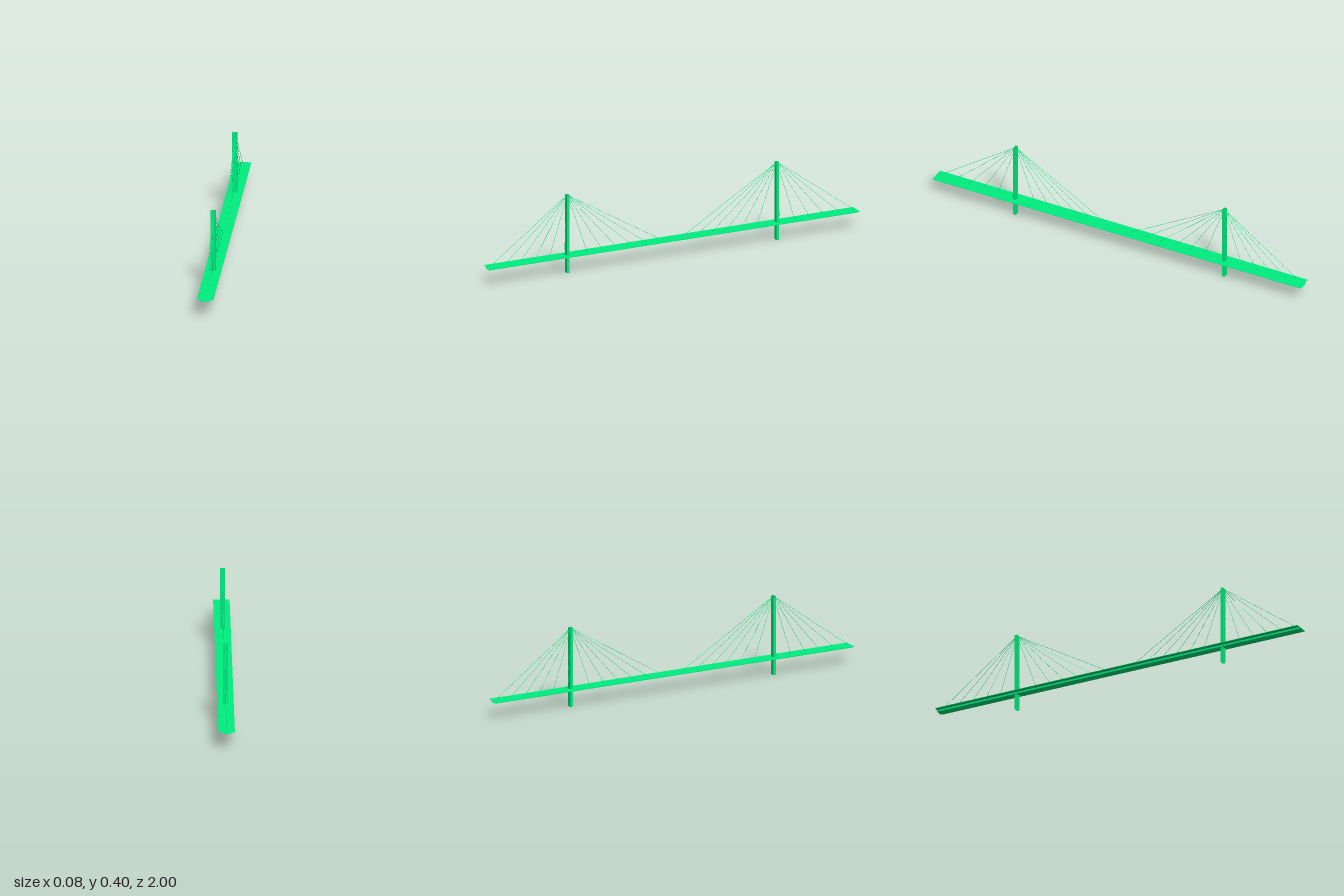
import * as THREE from 'three';

const material = new THREE.MeshStandardMaterial({ color: 0x00ee80, flatShading: true, side: THREE.DoubleSide });

// Open-ended shell: sweeps a counter-clockwise closed profile along z, without end caps
function shell(profile, length) {
  const pos = [];
  const h = length / 2;
  profile.forEach(([ax, ay], i) => {
    const [bx, by] = profile[(i + 1) % profile.length];
    pos.push(ax, ay, h, ax, ay, -h, bx, by, -h);
    pos.push(ax, ay, h, bx, by, -h, bx, by, h);
  });
  const geo = new THREE.BufferGeometry();
  geo.setAttribute('position', new THREE.Float32BufferAttribute(pos, 3));
  geo.computeVertexNormals();
  return geo;
}

function addMesh(parent, name, geometry) {
  const mesh = new THREE.Mesh(geometry, material);
  mesh.name = name;
  parent.add(mesh);
  return mesh;
}

// Thin straight stay between two points
function cable(from, to) {
  return new THREE.TubeGeometry(new THREE.LineCurve3(from, to), 1, 0.0008, 6);
}

export function createModel() {
  const model = new THREE.Group();
  model.name = 'cableStayedBridge';

  const towerZ = 0.568;
  const towerHeight = 0.396;

  // Deck: thin road slab with a narrower box girder below
  const deckProfile = [
    [-0.04, 0.087], [-0.018, 0.087], [-0.018, 0.078], [0.018, 0.078],
    [0.018, 0.087], [0.04, 0.087], [0.04, 0.089], [-0.04, 0.089],
  ];
  addMesh(model, 'deck', shell(deckProfile, 2));

  for (const side of [1, -1]) {
    const half = new THREE.Group();
    half.name = side > 0 ? 'frontSpan' : 'backSpan';

    // Tower: rectangular tube standing through the deck
    const w = 0.012, d = 0.007;
    const tower = shell([[-w, -d], [w, -d], [w, d], [-w, d]], towerHeight);
    tower.rotateX(-Math.PI / 2);
    addMesh(half, 'tower', tower).position.set(0, towerHeight / 2, side * towerZ);

    // Stays: a fan of six cables to each side of the tower
    const top = new THREE.Vector3(0, towerHeight - 0.001, side * towerZ);
    const stays = new THREE.Group();
    stays.name = 'stayCables';
    for (let i = 0; i < 6; i++) {
      for (const z of [0.999 - 0.083 * i, 0.457 - 0.083 * i]) {
        addMesh(stays, 'stayCable', cable(top, new THREE.Vector3(0, 0.082, side * z)));
      }
    }
    half.add(stays);
    model.add(half);
  }
  return model;
}
